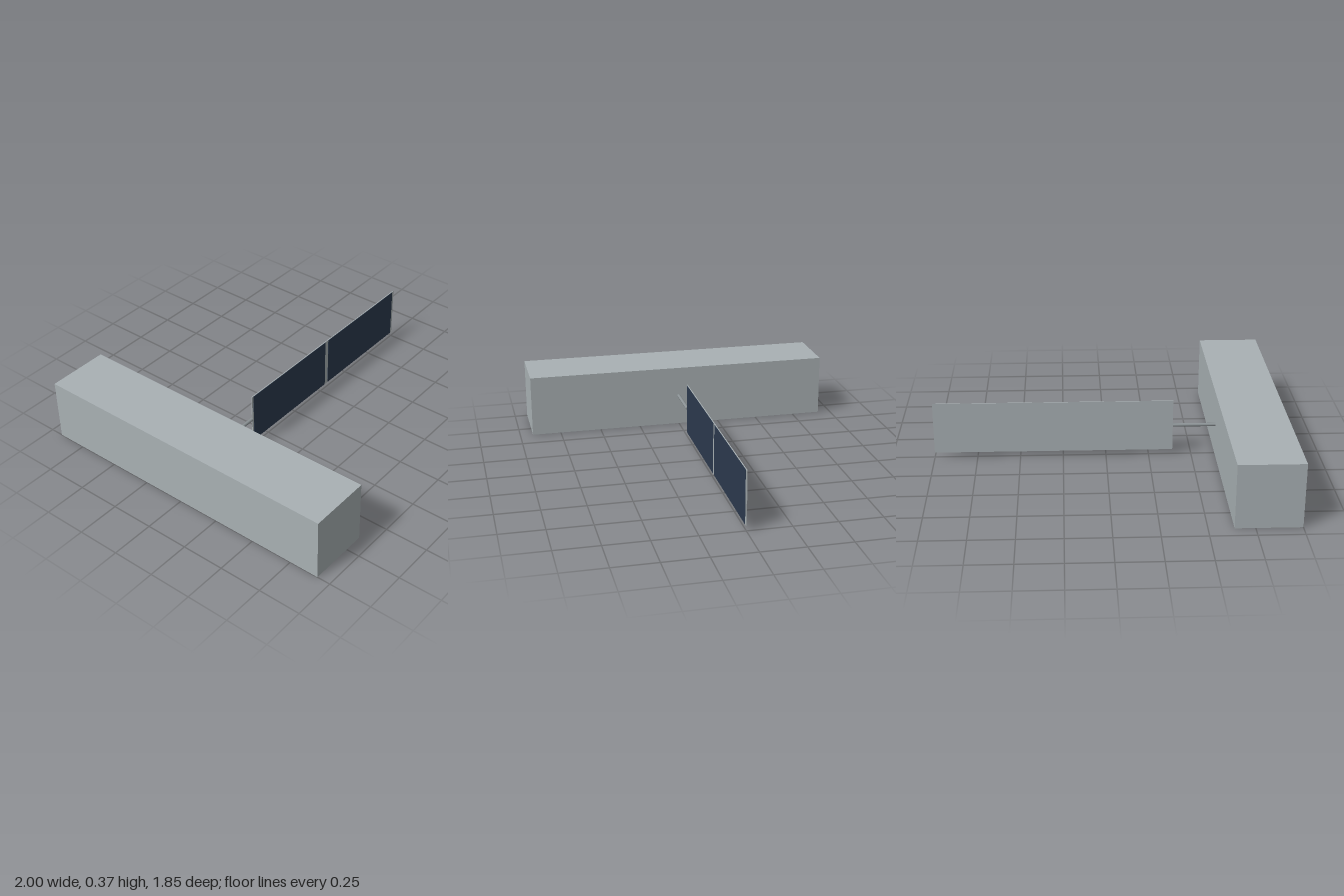
import * as THREE from 'three';

export function createModel() {
  const model = new THREE.Group();
  const material = (name, color) => {
    const m = new THREE.MeshStandardMaterial({ color });
    m.name = name;
    return m;
  };
  const hullGrey = material('hull grey', 0xa9b1b4);
  const armGrey = material('arm grey', 0x8c9396);
  const cellBlue = material('cell navy', 0x2c3a4e);

  const midY = 0.183; // height of the arm and panel axis

  const add = (name, geometry, mat, x, y, z) => {
    const mesh = new THREE.Mesh(geometry, mat);
    mesh.name = name;
    mesh.position.set(x, y, z);
    model.add(mesh);
    return mesh;
  };
  // Box spanning x0..x1, centred on the axis height
  const addBox = (name, x0, x1, height, depth, mat, z = 0) =>
    add(name, new THREE.BoxGeometry(x1 - x0, height, depth), mat, (x0 + x1) / 2, midY, z);

  // Long square body
  addBox('body', -1, -0.639, 0.366, 1.846, hullGrey);

  // Round arm from the body to the panel
  const arm = add('arm', new THREE.CylinderGeometry(0.01, 0.01, 0.25, 12), armGrey, -0.515, midY, 0);
  arm.rotation.z = Math.PI / 2;

  // Thin panel with two dark cells on its front
  addBox('panel', -0.39, 1, 0.308, 0.005, hullGrey);
  for (const [x0, x1] of [[-0.378, 0.288], [0.318, 0.984]]) {
    addBox('solarCell', x0, x1, 0.304, 0.002, cellBlue, 0.0032);
  }

  return model;
}
